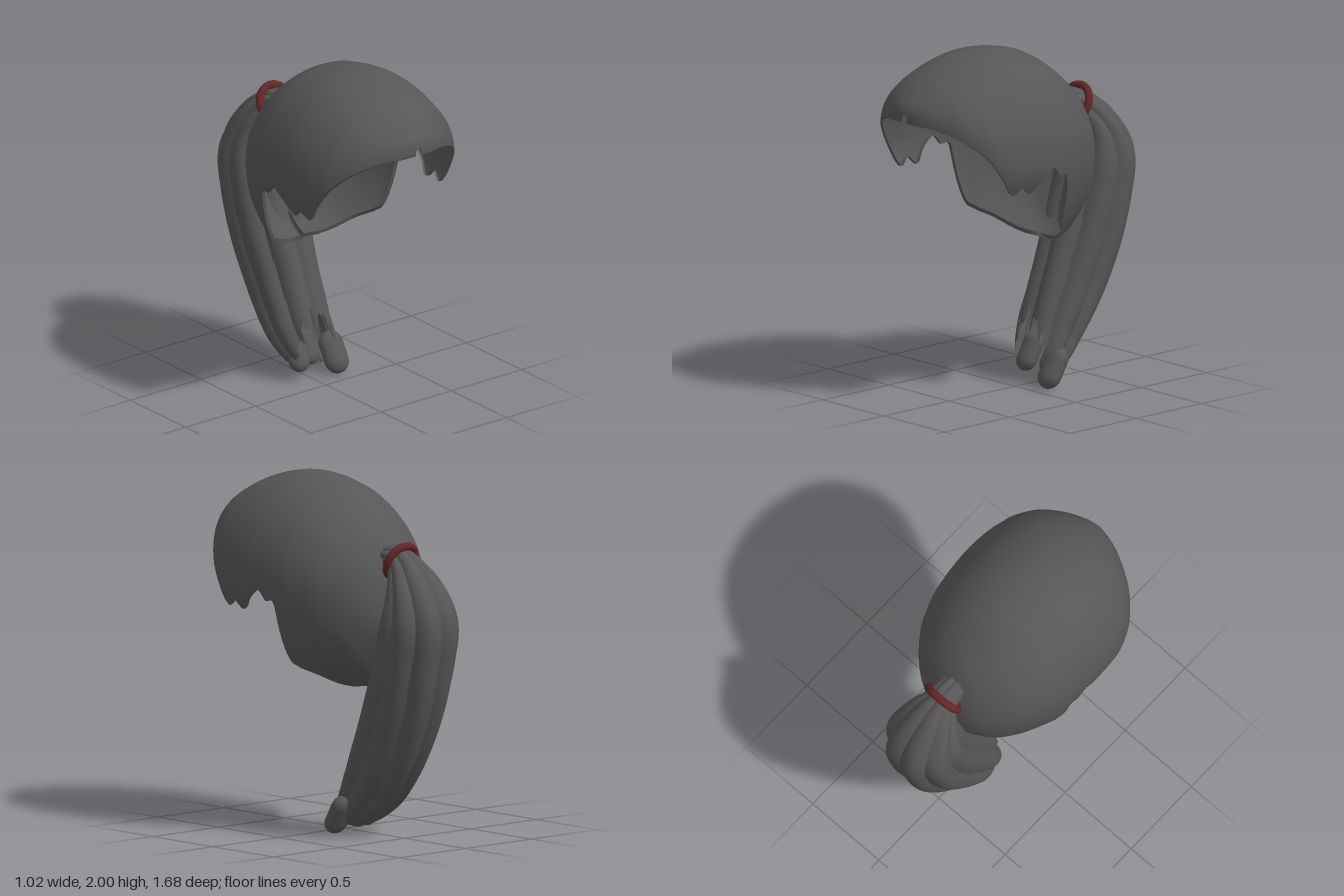
import * as THREE from 'three';
import { ParametricGeometry } from 'three/addons/geometries/ParametricGeometry.js';

const hair = new THREE.MeshStandardMaterial({ color: 0x565656, side: THREE.DoubleSide });
const red = new THREE.MeshStandardMaterial({ color: 0x642626 });

// Smooth curve through three columns of a profile table
const curve = (rows, a, b, c) =>
  new THREE.CatmullRomCurve3(rows.map(r => new THREE.Vector3(r[a], r[b], r[c])), false, 'catmullrom', 0.5);

function add(group, name, geometry, material) {
  const mesh = new THREE.Mesh(geometry, material);
  mesh.name = name;
  group.add(mesh);
  return mesh;
}

// Cap sections from back to front: z, top, half width, height of widest point, bottom, hem height
const capRows = [
  [-0.452, 1.30, 0.01, 1.28, 1.26, 1.26],
  [-0.445, 1.39, 0.10, 1.29, 1.18, 1.18],
  [-0.42, 1.51, 0.18, 1.31, 1.10, 1.10],
  [-0.37, 1.63, 0.26, 1.33, 1.01, 1.01],
  [-0.30, 1.73, 0.335, 1.36, 0.90, 0.90],
  [-0.20, 1.825, 0.41, 1.39, 0.83, 0.83],
  [-0.10, 1.90, 0.455, 1.40, 0.77, 0.91],
  [-0.02, 1.943, 0.482, 1.40, 0.71, 0.96],
  [0.02, 1.96, 0.49, 1.40, 0.70, 1.02],
  [0.05, 1.968, 0.495, 1.40, 0.70, 1.31],
  [0.11, 1.982, 0.504, 1.40, 0.75, 1.33],
  [0.17, 1.993, 0.508, 1.41, 0.90, 1.385],
  [0.25, 2.00, 0.512, 1.42, 1.00, 1.33],
  [0.32, 1.998, 0.512, 1.42, 1.00, 1.255],
  [0.38, 1.99, 0.508, 1.42, 1.00, 1.30],
  [0.45, 1.975, 0.50, 1.42, 1.00, 1.265],
  [0.52, 1.953, 0.48, 1.44, 1.00, 1.37],
  [0.60, 1.92, 0.443, 1.49, 1.20, 1.49],
  [0.70, 1.865, 0.35, 1.58, 1.30, 1.59],
  [0.78, 1.80, 0.22, 1.64, 1.40, 1.645],
  [0.825, 1.75, 0.11, 1.66, 1.50, 1.66],
  [0.842, 1.71, 0.02, 1.68, 1.60, 1.665],
];

// Open shell of half-ellipse sections that stop at the hem, with a small inward lip
function capGeometry() {
  const upper = curve(capRows, 0, 1, 2), lower = curve(capRows, 3, 4, 5);
  const p = new THREE.Vector3(), q = new THREE.Vector3();
  return new ParametricGeometry((u, v, target) => {
    upper.getPoint(u, p);
    lower.getPoint(u, q);
    const [z, top, width] = p.toArray(), [mid, bottom, hem] = q.toArray();
    const c = (hem - mid) / (hem > mid ? top - mid : mid - bottom);
    const end = Math.acos(THREE.MathUtils.clamp(c, -1, 1));
    const s = 2 * v - 1, m = Math.abs(s);
    const a = Math.sign(s) * end * Math.min(1, m / 0.96);
    const lip = 1 - 0.04 * Math.max(0, (m - 0.96) / 0.04);
    const h = Math.cos(a) > 0 ? top - mid : mid - bottom;
    target.set(width * Math.sin(a) * lip, mid + h * Math.cos(a) * lip, z);
  }, 126, 100);
}

// Tail sections from root to tip: centre y, centre z, half depth, half width
const tailRows = [
  [1.585, -0.34, 0.06, 0.075],
  [1.565, -0.46, 0.085, 0.09],
  [1.44, -0.565, 0.14, 0.165],
  [1.25, -0.615, 0.22, 0.22],
  [1.05, -0.585, 0.235, 0.228],
  [0.80, -0.51, 0.24, 0.222],
  [0.55, -0.405, 0.228, 0.205],
  [0.33, -0.285, 0.195, 0.195],
  [0.18, -0.19, 0.145, 0.175],
  [0.08, -0.13, 0.08, 0.13],
];

// Eight-lobed sweep, open and ragged at the lower front
function tailGeometry() {
  const path = curve(tailRows.map(r => [0, ...r]), 0, 1, 2);
  const size = curve(tailRows.map(r => [0, ...r]), 0, 3, 4);
  const c = new THREE.Vector3(), t = new THREE.Vector3(), d = new THREE.Vector3();
  return new ParametricGeometry((u, v, target) => {
    const a = v * Math.PI * 2;
    const front = Math.max(0, -Math.cos(a));
    const end = 1 - front ** 1.5 * (0.19 + 0.03 * Math.sin(17 * a) + 0.02 * Math.sin(29 * a));
    const k = u * end;
    path.getPoint(k, c);
    path.getTangent(k, t);
    size.getPoint(k, d);
    const lobe = 0.89 + 0.13 * Math.abs(Math.sin(4 * a + 0.25 * Math.sin(k * 5)));
    const out = d.y * Math.cos(a) * lobe;
    const drift = 0.2 * Math.max(0, k - 0.8);
    target.set(drift - d.z * Math.sin(a) * lobe, c.y - t.z * out, c.z + t.y * out);
  }, 90, 192);
}

export function createModel() {
  const model = new THREE.Group();
  add(model, 'hairCap', capGeometry(), hair);
  add(model, 'ponytail', tailGeometry(), hair);

  // Rounded lock ends at the tip: x, y, z, radius
  const tips = [[0.165, 0.115, -0.14, 0.075], [-0.07, 0.16, -0.18, 0.065], [0.05, 0.15, -0.24, 0.06]];
  for (const [x, y, z, r] of tips) {
    const tip = add(model, 'lockTip', new THREE.CapsuleGeometry(r, 0.1, 8, 20), hair);
    tip.position.set(x, y, z);
    tip.scale.z = 0.75;
    tip.rotation.x = -0.53;
  }

  // Tie around the root of the tail
  const band = add(model, 'hairBand', new THREE.TorusGeometry(0.1, 0.023, 14, 48), red);
  band.position.set(0, 1.565, -0.465);
  band.rotation.x = -0.42;
  return model;
}
